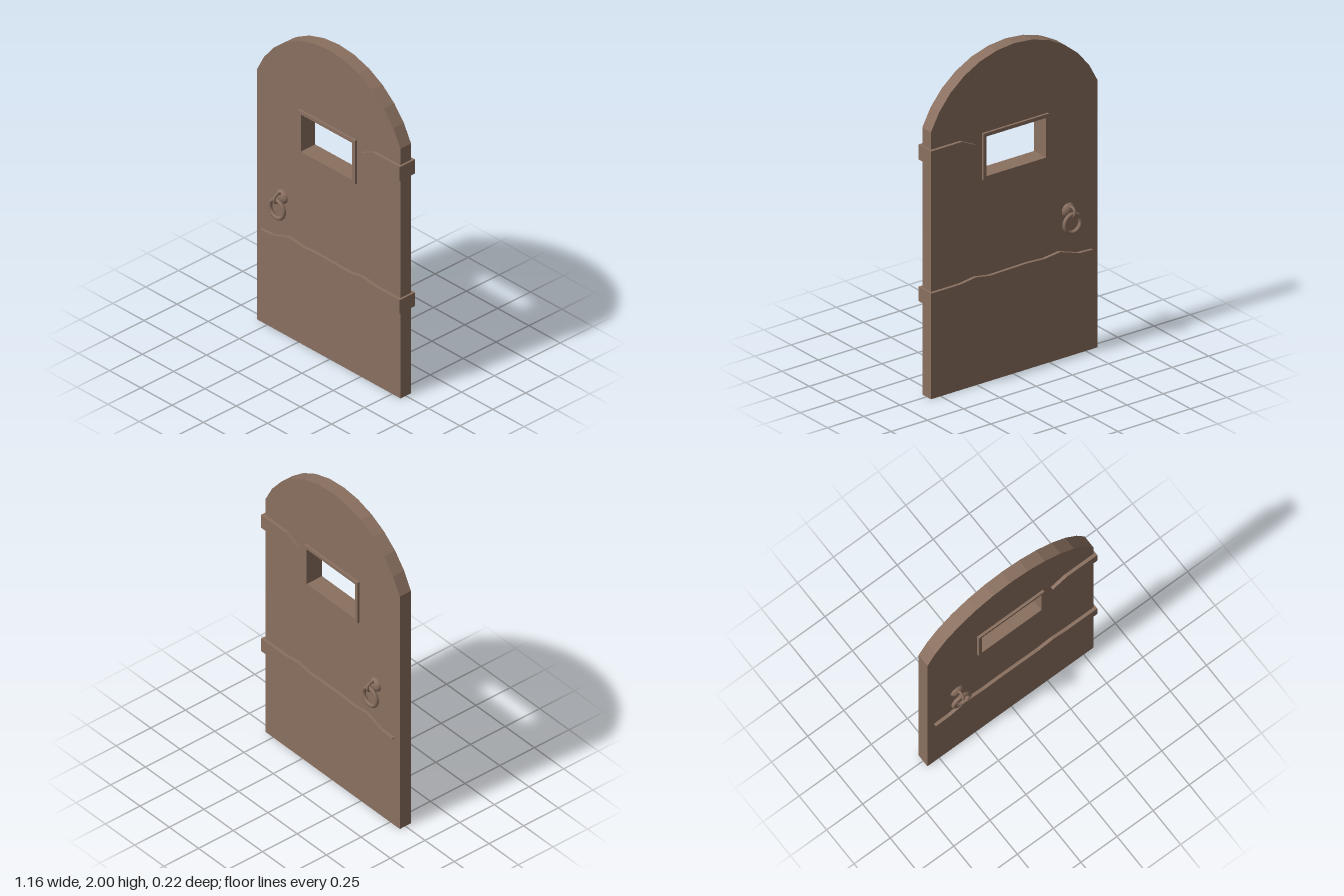
import * as THREE from 'three';

const brown = new THREE.MeshStandardMaterial({ color: 0x8a7060 });
brown.name = 'brown wood';

const shapeOf = (pts) => new THREE.Shape(pts.map(([x, y]) => new THREE.Vector2(x, y)));
const rect = (x0, x1, y0, y1) => [[x0, y0], [x1, y0], [x1, y1], [x0, y1]];

function add(parent, name, geometry) {
  const mesh = new THREE.Mesh(geometry, brown);
  mesh.name = name;
  parent.add(mesh);
  return mesh;
}

// Extrude an outline symmetrically about z = 0
function slab(parent, name, shape, halfDepth) {
  const g = new THREE.ExtrudeGeometry(shape, { depth: 2 * halfDepth, bevelEnabled: false });
  g.translate(0, 0, -halfDepth);
  return add(parent, name, g);
}

export function createModel() {
  const model = new THREE.Group();
  model.name = 'archedDoor';

  // Door leaf with a twelve-segment arched top
  const outline = [[-0.582, 0], [0.567, 0]];
  const R = 0.622, cx = -0.0075, cy = 1.378, half = 1.1775;
  for (let i = 0; i <= 12; i++) {
    const a = half - (2 * half * i) / 12;
    outline.push([cx + R * Math.sin(a), cy + R * Math.cos(a)]);
  }
  const leaf = shapeOf(outline);
  leaf.holes.push(shapeOf(rect(-0.225, 0.205, 1.246, 1.505)));
  slab(model, 'doorLeaf', leaf, 0.04);

  // Raised frame lining the window
  const frame = shapeOf(rect(-0.238, 0.217, 1.235, 1.516));
  frame.holes.push(shapeOf(rect(-0.215, 0.195, 1.255, 1.495)));
  slab(model, 'windowFrame', frame, 0.055);

  // Hinge straps wrapping around the hinge edge
  slab(model, 'upperHingeStrap', shapeOf([
    [0.272, 1.466], [0.368, 1.421], [0.58, 1.421], [0.58, 1.511], [0.368, 1.511],
  ]), 0.059);
  slab(model, 'lowerHingeStrap', shapeOf([
    [-0.537, 0.605], [-0.44, 0.6], [-0.31, 0.556], [-0.204, 0.57], [-0.087, 0.561], [0.177, 0.571],
    [0.272, 0.549], [0.378, 0.563], [0.58, 0.563], [0.58, 0.65], [0.378, 0.65], [0.272, 0.664],
    [0.177, 0.648], [-0.087, 0.652], [-0.204, 0.646], [-0.31, 0.658], [-0.44, 0.616], [-0.537, 0.611],
  ]), 0.059);

  // Ring handle on each face: domed boss, staple and hanging ring
  for (const side of [1, -1]) {
    const handle = new THREE.Group();
    handle.name = side > 0 ? 'frontHandle' : 'backHandle';
    handle.position.x = -0.378;

    const boss = add(handle, 'handleBoss',
      new THREE.SphereGeometry(0.044, 16, 6, 0, Math.PI * 2, 0, Math.PI / 2));
    boss.scale.y = 0.62;
    boss.rotation.x = side * Math.PI / 2;
    boss.position.set(0, 0.887, side * 0.039);

    const staple = add(handle, 'handleStaple', new THREE.TorusGeometry(0.028, 0.0085, 8, 16));
    staple.rotation.y = Math.PI / 2;
    staple.position.set(0, 0.89, side * 0.0745);

    const ring = add(handle, 'handleRing', new THREE.TorusGeometry(0.0555, 0.0125, 8, 20));
    ring.position.set(0, 0.822, side * 0.0815);
    model.add(handle);
  }
  return model;
}
